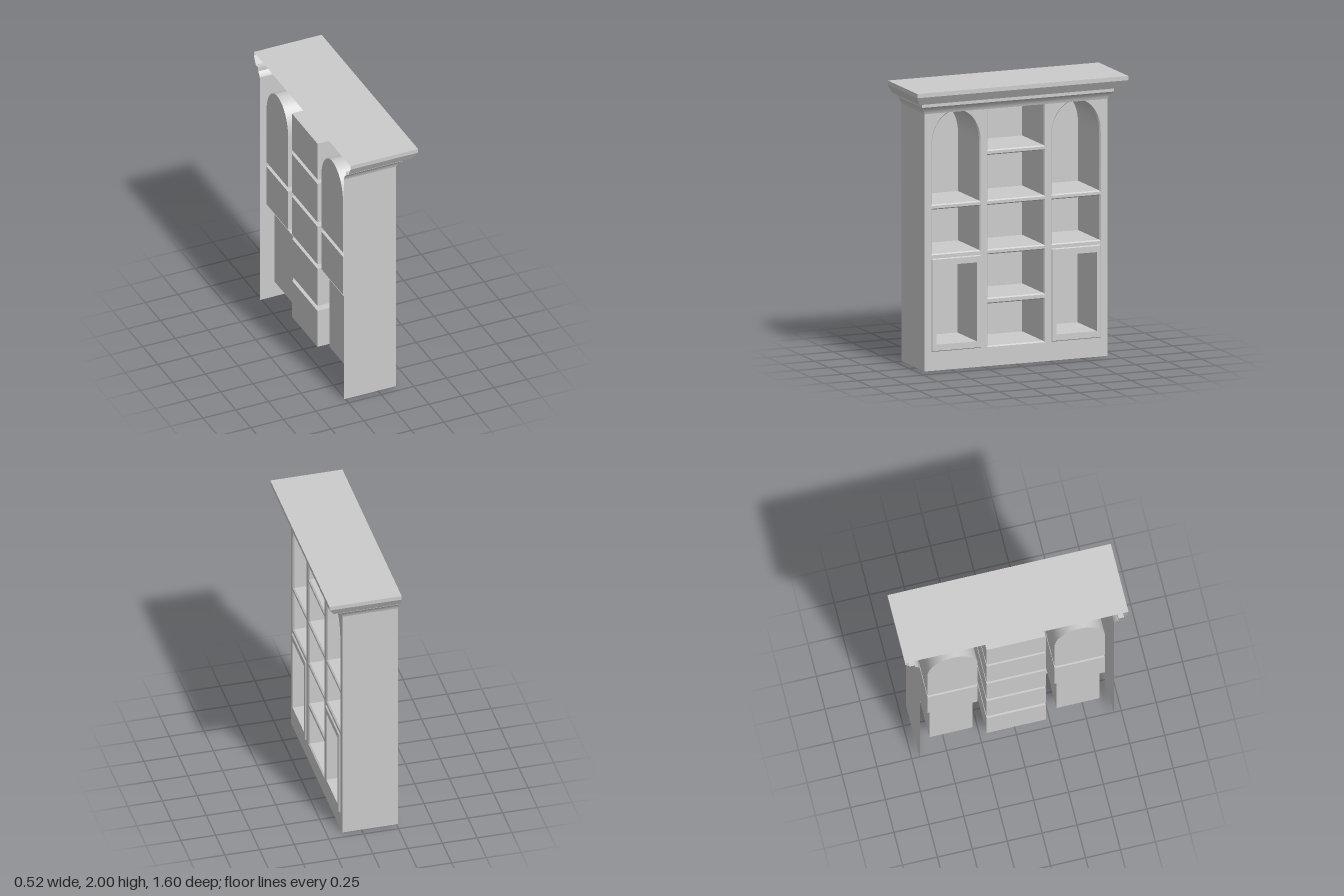
import * as THREE from 'three';
import { toCreasedNormals } from 'three/addons/utils/BufferGeometryUtils.js';

const BACK = -0.26, FACE = 0.14, HALF = 0.695, TOP = 1.85;
const mat = new THREE.MeshStandardMaterial({ color: 0xcccccc, side: THREE.DoubleSide });

// Skin a list of rings of Vector3; the last ring can be filled with a fan.
function loft(rings, closed, cap) {
  const n = rings[0].length, idx = [];
  for (let k = 0; k < rings.length - 1; k++) {
    for (let i = 0; i < (closed ? n : n - 1); i++) {
      const j = (i + 1) % n;
      const a = k * n + i, b = k * n + j, c = b + n, d = a + n;
      idx.push(a, b, c, a, c, d);
    }
  }
  const last = (rings.length - 1) * n;
  if (cap) for (let i = 1; i < n - 1; i++) idx.push(last, last + i, last + i + 1);
  const g = new THREE.BufferGeometry().setFromPoints(rings.flat());
  g.setIndex(idx);
  return toCreasedNormals(g, 0.5);
}

// Opening outline, counter-clockwise seen from the face (u runs towards -z).
function outline(o, dz = 0, dy = 0) {
  const w = o.w / 2 - dz, y0 = o.y0 + dy, y1 = o.y1 - dy;
  const pts = [[o.u - w, y0], [o.u + w, y0]];
  if (o.arch) {
    const spring = o.y1 - o.arch;
    for (let i = 0; i <= 24; i++) {
      const t = Math.PI * i / 24;
      pts.push([o.u + w * Math.cos(t), spring + (y1 - spring) * Math.sin(t)]);
    }
  } else pts.push([o.u + w, y1], [o.u - w, y1]);
  return pts.map(p => new THREE.Vector2(...p));
}

const ring = (o, x, dz, dy) => outline(o, dz, dy).map(p => new THREE.Vector3(x, p.y, -p.x));

export function createModel() {
  const model = new THREE.Group();
  const add = (name, geometry) => {
    const m = new THREE.Mesh(geometry, mat);
    m.name = name;
    model.add(m);
    return m;
  };

  // Openings: five centre shelves, and an arch, a shelf and a door on each side
  const openings = [[0.135, 0.45], [0.475, 0.8], [0.82, 1.15], [1.17, 1.505], [1.525, 1.84]]
    .map(([y0, y1]) => ({ name: 'centreShelf', u: 0, w: 0.44, y0, y1 }));
  for (const s of [-1, 1]) {
    const side = { u: s * 0.455, w: 0.375 };
    openings.push(
      { ...side, name: 'archedNiche', y0: 1.17, y1: 1.84, arch: 0.24 },
      { ...side, name: 'sideShelf', y0: 0.82, y1: 1.15 },
      { ...side, name: 'doorFrame', y0: 0.135, y1: 0.795, door: true });
  }

  // Face frame with all openings cut out
  const face = new THREE.Shape([[-HALF, 0], [HALF, 0], [HALF, TOP], [-HALF, TOP]]
    .map(p => new THREE.Vector2(...p)));
  openings.forEach(o => face.holes.push(new THREE.Path(outline(o))));
  add('faceFrame', new THREE.ShapeGeometry(face).rotateY(Math.PI / 2).translate(FACE, 0, 0));

  // Recesses with a chamfered rim; doors have a raised frame and a shallower recess
  for (const o of openings) {
    const steps = o.door
      ? [[FACE, 0, 0], [0.15, 0.006, 0.006], [0.15, 0.034, 0.05], [-0.19, 0.034, 0.05]]
      : [[FACE, 0, 0], [FACE - 0.01, 0.008, 0.008], [-0.24, 0.008, 0.008]];
    add(o.name, loft(steps.map(s => ring(o, ...s)), true, true));
  }

  // Side panels
  for (const s of [-1, 1]) {
    const g = new THREE.PlaneGeometry(FACE - BACK, TOP);
    if (s < 0) g.rotateY(Math.PI);
    add(s > 0 ? 'leftSidePanel' : 'rightSidePanel',
      g.translate((FACE + BACK) / 2, TOP / 2, s * HALF));
  }

  // Crown moulding mitred around three sides, closed on top: [overhang, y]
  const profile = [[0, 1.825], [0.004, 1.84], [0.012, 1.855], [0.022, 1.87], [0.033, 1.88],
    [0.033, 1.912], [0.073, 1.912], [0.105, 1.97], [0.105, 2]];
  add('crown', loft(profile.map(([o, y]) => {
    const x = FACE + o * 1.14, z = HALF + o;
    return [[BACK, z], [x, z], [x, -z], [BACK, -z]].map(p => new THREE.Vector3(p[0], y, p[1]));
  }), false, true));

  return model;
}
